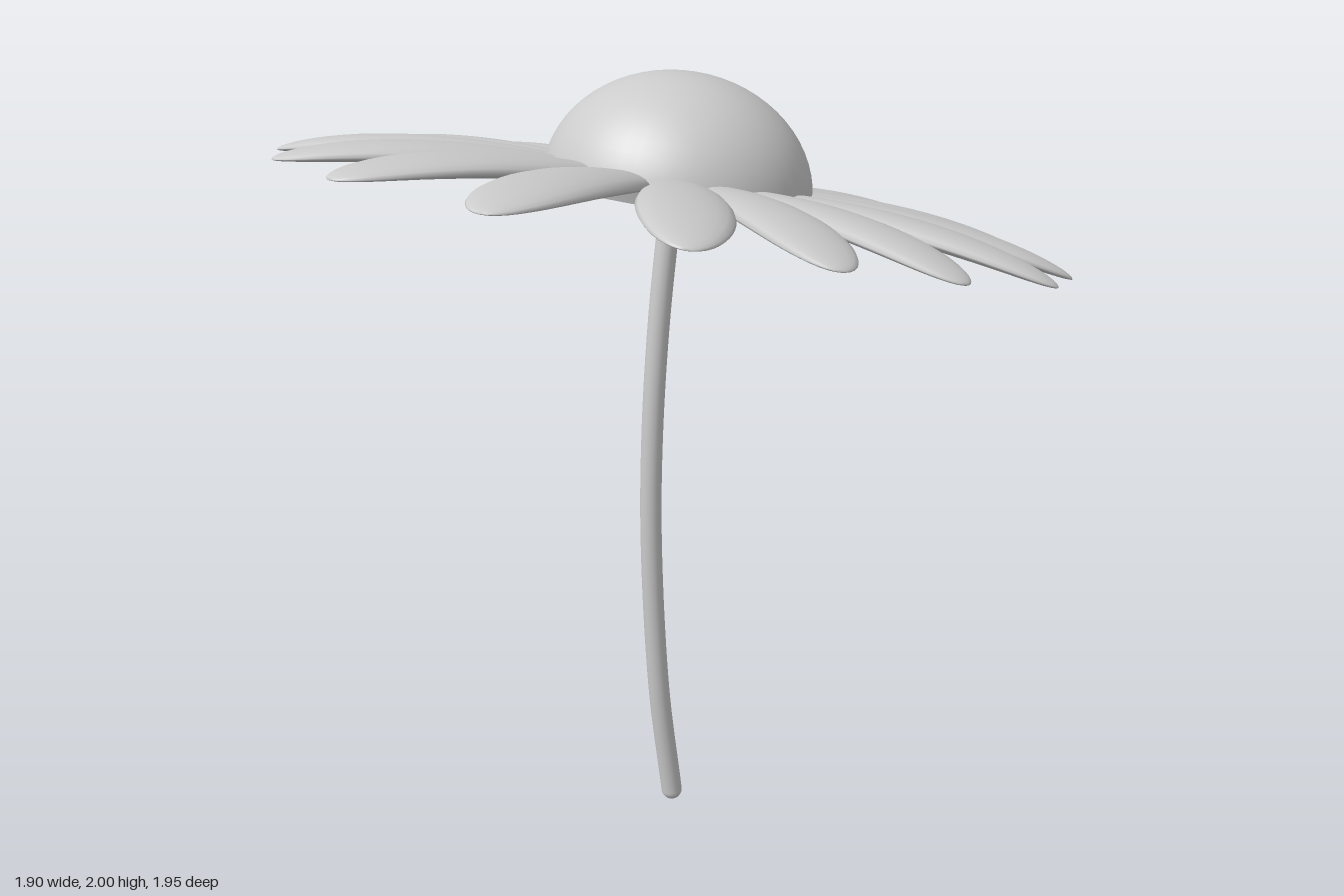
import * as THREE from 'three';
import { mergeVertices, toCreasedNormals } from 'three/addons/utils/BufferGeometryUtils.js';

const material = new THREE.MeshStandardMaterial({ color: 0xcccccc, roughness: 0.8 });

function addMesh(parent, name, geometry) {
  const mesh = new THREE.Mesh(geometry, material);
  mesh.name = name;
  parent.add(mesh);
  return mesh;
}

// One petal along +x: a flattened ball, wider toward the tip and drooping outward
function petalGeometry(inner, outer) {
  const geo = new THREE.SphereGeometry(1, 20, 28).rotateZ(-Math.PI / 2);
  const pos = geo.attributes.position;
  for (let i = 0; i < pos.count; i++) {
    const x = pos.getX(i), y = pos.getY(i), z = pos.getZ(i);
    const t = (x + 1) / 2;
    const droop = 0.01 - 0.07 * t ** 3;
    const thickness = y > 0 ? 0.035 : 0.02;
    pos.setXYZ(i, inner + (outer - inner) * t, droop + y * thickness, z * (0.104 + 0.03 * x));
  }
  geo.deleteAttribute('uv');
  geo.deleteAttribute('normal');
  const merged = mergeVertices(geo, 1e-5);
  merged.computeVertexNormals();
  return merged;
}

export function createModel() {
  const model = new THREE.Group();
  model.name = 'daisy';

  // Bowed stem with a rounded foot
  const radius = 0.028;
  const path = new THREE.CatmullRomCurve3([
    [-0.027, radius], [-0.068, 0.36], [-0.09, 0.8], [-0.085, 1.1], [-0.063, 1.4], [-0.025, 1.71],
  ].map(([x, y]) => new THREE.Vector3(x, y, 0.002)));
  addMesh(model, 'stem', new THREE.TubeGeometry(path, 48, radius, 16));
  addMesh(model, 'stemFoot', new THREE.SphereGeometry(radius, 16, 12)).position.copy(path.getPoint(0));

  // Tilted flower head
  const head = new THREE.Group();
  head.name = 'flowerHead';
  head.position.set(0, 1.717, -0.012);
  head.quaternion.setFromUnitVectors(
    new THREE.Vector3(0, 1, 0), new THREE.Vector3(0.24, 1, -0.07).normalize());
  model.add(head);

  // Domed centre with a flat underside
  const profile = [new THREE.Vector2(0, -0.035), new THREE.Vector2(0.31, -0.035)];
  for (let i = 0; i <= 16; i++) {
    const a = (i / 16) * Math.PI / 2;
    profile.push(new THREE.Vector2(Math.max(0, 0.332 * Math.cos(a)), 0.283 * Math.sin(a)));
  }
  addMesh(head, 'centreDome', toCreasedNormals(new THREE.LatheGeometry(profile, 48), 0.6));

  // Ring of unevenly spaced petals, angles in degrees from +x toward +z
  const petal = petalGeometry(0.15, 0.98);
  const angles = [-3, 21, 41, 62, 86, 104.5, 123, 148, 173, 194.5, 215.5, 238.5, 264, 287.5, 308, 328];
  angles.forEach((deg) => {
    addMesh(head, 'petal', petal).rotation.y = -THREE.MathUtils.degToRad(deg);
  });

  return model;
}
